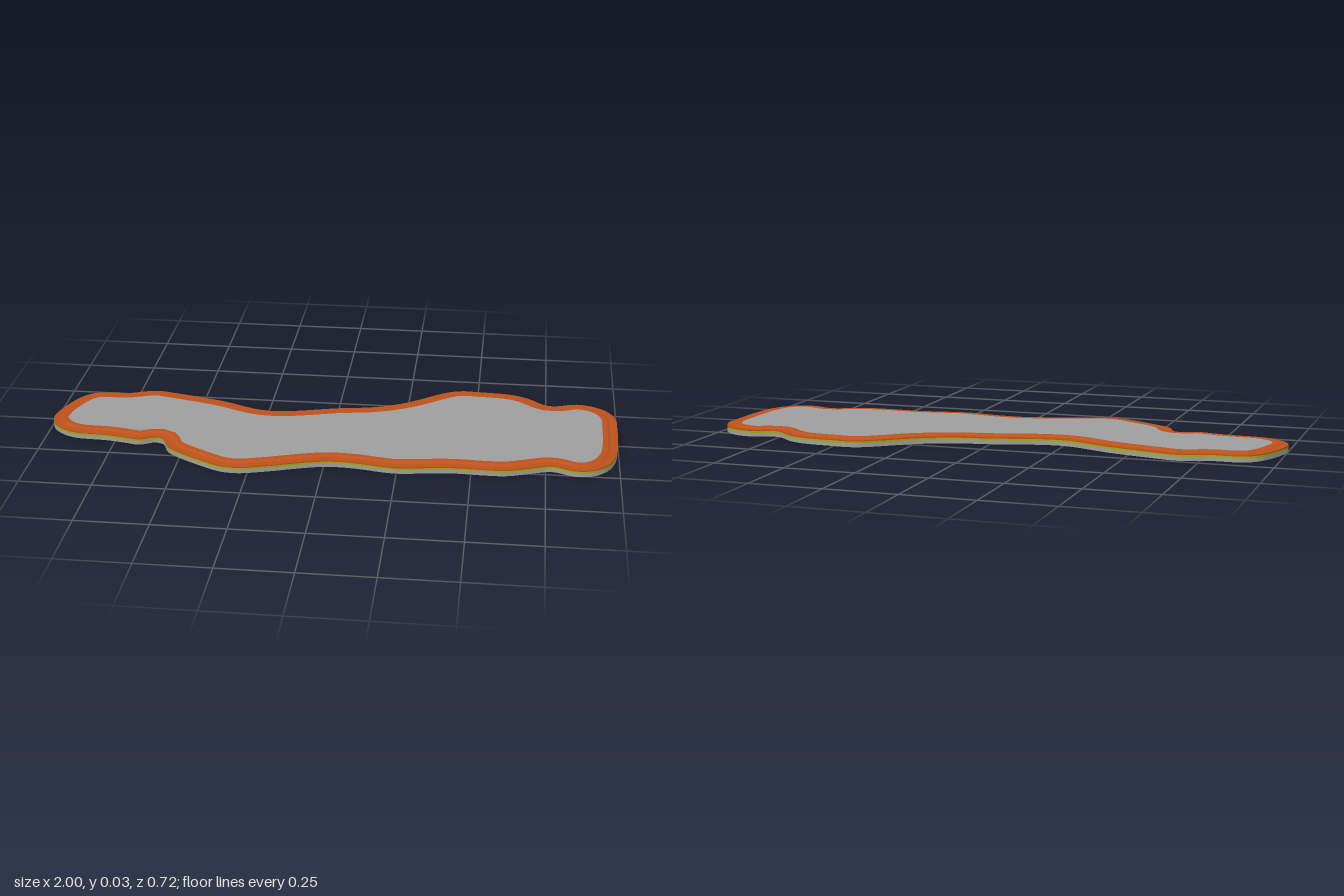
import * as THREE from 'three';
import { mergeGeometries } from 'three/addons/utils/BufferGeometryUtils.js';

const GREY = 0x9e9e9e;
const YELLOW = 0xa3ab16;
const ORANGE = 0xbd521c;

// Outline control points [x, z], running from the left end along the back, then along the front
const OUTLINE = [
  [-1, 0.02], [-0.955, -0.13], [-0.91, -0.185], [-0.86, -0.2], [-0.78, -0.203], [-0.72, -0.225],
  [-0.67, -0.235], [-0.61, -0.222], [-0.42, -0.17], [-0.29, -0.115], [-0.22, -0.105], [-0.15, -0.115],
  [0, -0.155], [0.13, -0.18], [0.24, -0.23], [0.39, -0.342], [0.44, -0.36], [0.5, -0.358],
  [0.62, -0.347], [0.68, -0.322], [0.75, -0.265], [0.785, -0.262], [0.85, -0.285], [0.9, -0.28],
  [0.96, -0.245], [0.995, -0.18], [1, -0.1], [0.99, 0.12], [0.96, 0.2], [0.91, 0.245],
  [0.85, 0.255], [0.77, 0.227], [0.7, 0.25], [0.62, 0.277], [0.55, 0.28], [0.43, 0.277],
  [0.25, 0.3], [0.2, 0.295], [0.1, 0.277], [0, 0.277], [-0.2, 0.338], [-0.28, 0.358],
  [-0.34, 0.353], [-0.4, 0.325], [-0.52, 0.25], [-0.55, 0.22], [-0.575, 0.165], [-0.605, 0.153],
  [-0.66, 0.178], [-0.7, 0.17], [-0.78, 0.155], [-0.9, 0.145], [-0.96, 0.11], [-0.992, 0.065],
];

// Coarse outline of the shallow recess underneath, same direction
const RECESS = [
  [-0.895, 0.065], [-0.85, -0.11], [-0.31, -0.04], [0.15, 0], [0.48, -0.21], [0.88, -0.12],
  [0.87, 0.14], [0.49, 0.08], [-0.03, 0.2], [-0.31, 0.28], [-0.5, 0.07],
];

// Smooth edge sampled evenly from the outline points
const EDGE = new THREE.CatmullRomCurve3(
  OUTLINE.map(([x, z]) => new THREE.Vector3(x, 0, z)), true, 'centripetal',
).getSpacedPoints(220).slice(0, -1).map((p) => [p.x, p.z]);

// A ring moved inwards by a distance
function inset(ring, distance) {
  const n = ring.length;
  return ring.map(([x, z], i) => {
    const [ax, az] = ring[(i + n - 1) % n];
    const [bx, bz] = ring[(i + 1) % n];
    const scale = distance / Math.hypot(bx - ax, bz - az);
    return [x - (bz - az) * scale, z + (bx - ax) * scale];
  });
}

// Strip of faces between two closed rings at two heights
function band(ringA, yA, ringB, yB) {
  const n = ringA.length;
  const positions = [];
  const index = [];
  ringA.forEach(([x, z]) => positions.push(x, yA, z));
  ringB.forEach(([x, z]) => positions.push(x, yB, z));
  for (let i = 0; i < n; i++) {
    const j = (i + 1) % n;
    index.push(i, n + i, j, j, n + i, n + j);
  }
  const geometry = new THREE.BufferGeometry();
  geometry.setAttribute('position', new THREE.Float32BufferAttribute(positions, 3));
  geometry.setIndex(index);
  geometry.computeVertexNormals();
  return geometry;
}

// Flat face over a ring, facing up (1) or down (-1), with an optional hole
function cap(ring, y, facing, hole) {
  const points = (r) => r.map(([x, z]) => new THREE.Vector2(x, -facing * z));
  const shape = new THREE.Shape(points(ring));
  if (hole) shape.holes.push(new THREE.Path(points(hole)));
  return new THREE.ShapeGeometry(shape).rotateX(-facing * Math.PI / 2).translate(0, y, 0);
}

export function createModel() {
  const group = new THREE.Group();
  const add = (name, color, geometry) => {
    const mesh = new THREE.Mesh(geometry, new THREE.MeshStandardMaterial({ color }));
    mesh.name = name;
    group.add(mesh);
  };

  // Base wall and the coloured stripe above it
  add('baseWall', GREY, band(EDGE, 0, EDGE, 0.013));
  add('edgeStripe', YELLOW, band(EDGE, 0.013, EDGE, 0.02));

  // Stepped border around the top: [inset, height]
  const rim = [[0, 0.02], [0, 0.024], [0.027, 0.024], [0.035, 0.029], [0.053, 0.029]];
  const rings = rim.map(([distance]) => inset(EDGE, distance));
  add('rim', ORANGE, mergeGeometries(
    rim.slice(1).map(([, y], i) => band(rings[i], rim[i][1], rings[i + 1], y))));

  // Top surface inside the border
  add('topSurface', GREY, cap(rings[4], 0.029, 1));

  // Underside with its shallow, gently sloped recess
  const recessFloor = inset(RECESS, 0.01);
  const recessWall = band(recessFloor, 0.003, RECESS, 0).toNonIndexed();
  recessWall.computeVertexNormals();
  add('underside', GREY, cap(EDGE, 0, -1, RECESS));
  add('undersideRecessWall', GREY, recessWall);
  add('undersideRecess', GREY, cap(recessFloor, 0.003, -1));

  return group;
}
